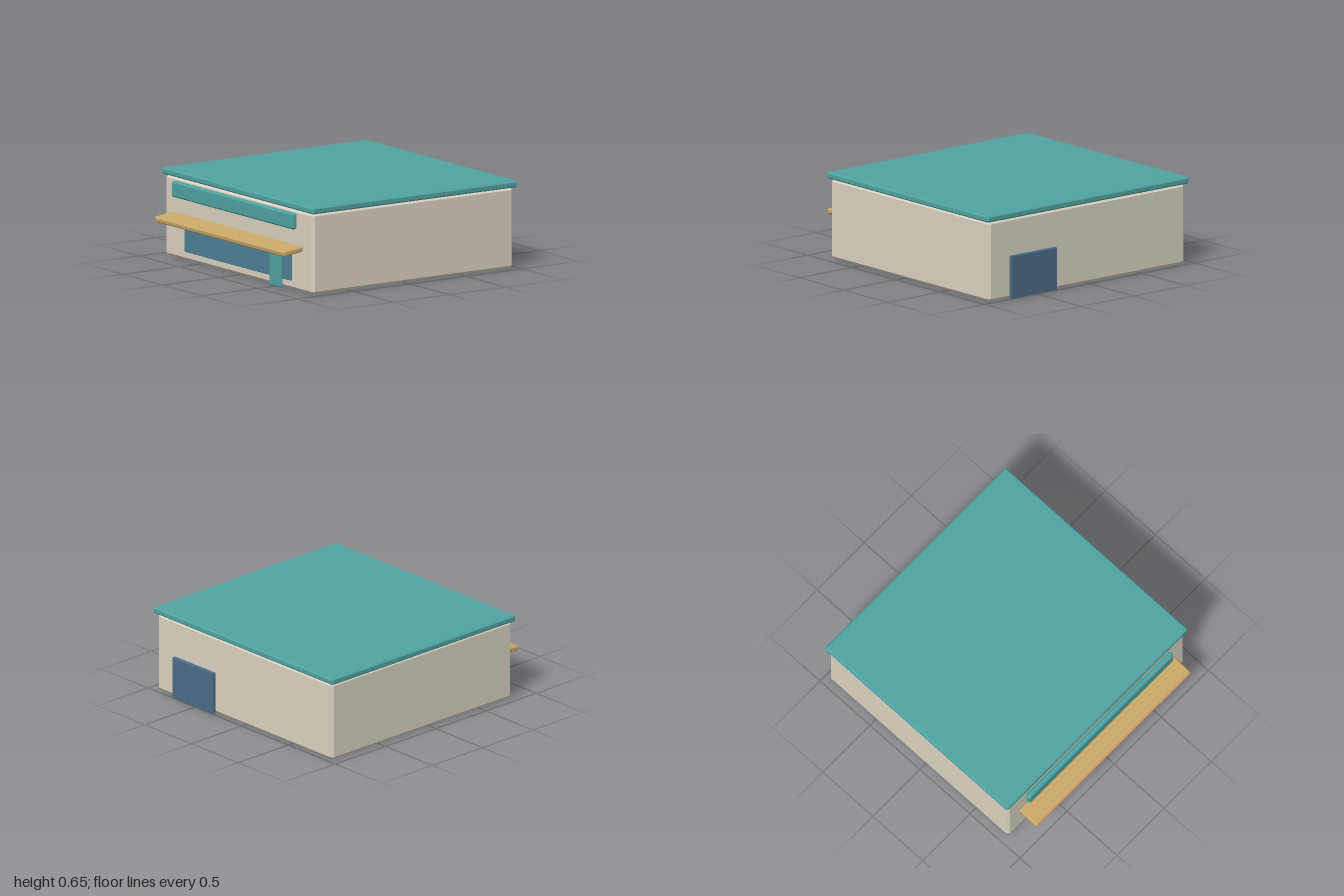
import * as THREE from 'three';
import { ConvexGeometry } from 'three/addons/geometries/ConvexGeometry.js';

const material = (color) => new THREE.MeshStandardMaterial({ color });

// Box with every edge cut by a flat chamfer c
function chamferBox(w, h, d, c) {
  const points = [];
  for (const sx of [-1, 1]) for (const sy of [-1, 1]) for (const sz of [-1, 1]) {
    const x = w / 2, y = h / 2, z = d / 2;
    points.push(
      new THREE.Vector3(sx * x, sy * (y - c), sz * (z - c)),
      new THREE.Vector3(sx * (x - c), sy * y, sz * (z - c)),
      new THREE.Vector3(sx * (x - c), sy * (y - c), sz * z)
    );
  }
  return new ConvexGeometry(points);
}

export function createModel() {
  const group = new THREE.Group();
  const cream = material(0xd9d2c1);
  const teal = material(0x4fa3a1);
  const tan = material(0xc9a869);
  const glass = material(0x4e8095);
  const steel = material(0x4a6b86);

  // Adds a part from its lower and upper limits on each axis
  function addPart(name, mat, [x0, x1], [y0, y1], [z0, z1], chamfer) {
    const mesh = new THREE.Mesh(chamferBox(x1 - x0, y1 - y0, z1 - z0, chamfer), mat);
    mesh.position.set((x0 + x1) / 2, (y0 + y1) / 2, (z0 + z1) / 2);
    mesh.name = name;
    group.add(mesh);
    return mesh;
  }

  // Building shell
  addPart('walls', cream, [-0.935, 0.935], [0, 0.6], [-0.97, 0.82], 0.02);
  addPart('roof', teal, [-0.96, 0.96], [0.6, 0.648], [-0.99, 0.835], 0.01);

  // Shop front
  addPart('signBoard', teal, [-0.77, 0.765], [0.463, 0.58], [0.835, 0.88], 0.01);
  addPart('shopWindow', glass, [-0.675, 0.672], [0.065, 0.3], [0.815, 0.833], 0.004);
  addPart('frontDoor', teal, [0.43, 0.58], [0.003, 0.283], [0.833, 0.85], 0.004);

  // Awning slopes down towards the street
  const awning = addPart('awning', tan, [-0.82, 0.82], [0.291, 0.333], [0.82, 0.998], 0.01);
  awning.rotation.x = 0.13;

  // Loading door at the rear
  addPart('backDoor', steel, [0.305, 0.74], [0.003, 0.32], [-1, -0.97], 0.004);

  return group;
}
